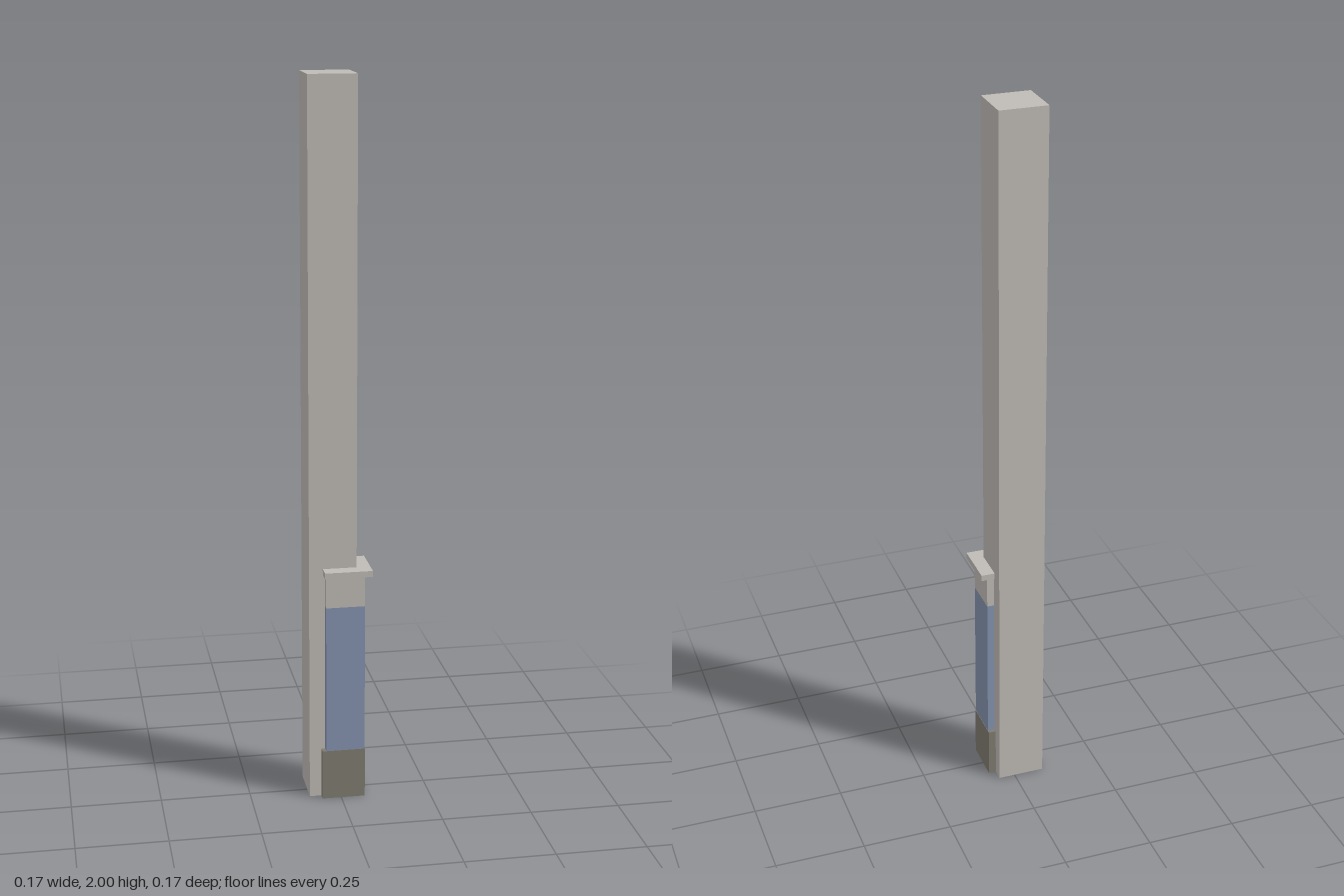
import * as THREE from 'three';

const stone = new THREE.MeshStandardMaterial({ color: 0xbfbbb5 });
stone.name = 'pale stone';
const blue = new THREE.MeshStandardMaterial({ color: 0x8492ae });
blue.name = 'slate blue';
const plinth = new THREE.MeshStandardMaterial({ color: 0x7f7b70 });
plinth.name = 'dark plinth';

const BACK = -0.086; // rear faces of the column
const CORNER = 0.046; // front corner of the column

// L-shaped casing wrapped round the column's front corner
function wrap(name, material, from, to, y0, y1) {
  const shape = new THREE.Shape([
    [to, from], [to, to], [from, to], [from, CORNER], [CORNER, CORNER], [CORNER, from],
  ].map(([x, z]) => new THREE.Vector2(x, z)));
  const geometry = new THREE.ExtrudeGeometry(shape, { depth: y1 - y0, bevelEnabled: false });
  geometry.rotateX(Math.PI / 2).translate(0, y1, 0);
  const mesh = new THREE.Mesh(geometry, material);
  mesh.name = name;
  return mesh;
}

export function createModel() {
  const model = new THREE.Group();
  model.name = 'cornerPillar';

  // Tall square column
  const width = CORNER - BACK;
  const column = new THREE.Mesh(new THREE.BoxGeometry(width, 2, width), stone);
  column.name = 'column';
  column.position.set((BACK + CORNER) / 2, 1, (BACK + CORNER) / 2);

  // Corner casing, from the ground up
  model.add(
    column,
    wrap('plinth', plinth, -0.053, 0.067, 0, 0.143),
    wrap('bluePanel', blue, -0.042, 0.066, 0.143, 0.565),
    wrap('upperBand', stone, -0.042, 0.066, 0.565, 0.655),
    wrap('capLedge', stone, -0.048, 0.084, 0.655, 0.672),
  );
  return model;
}
